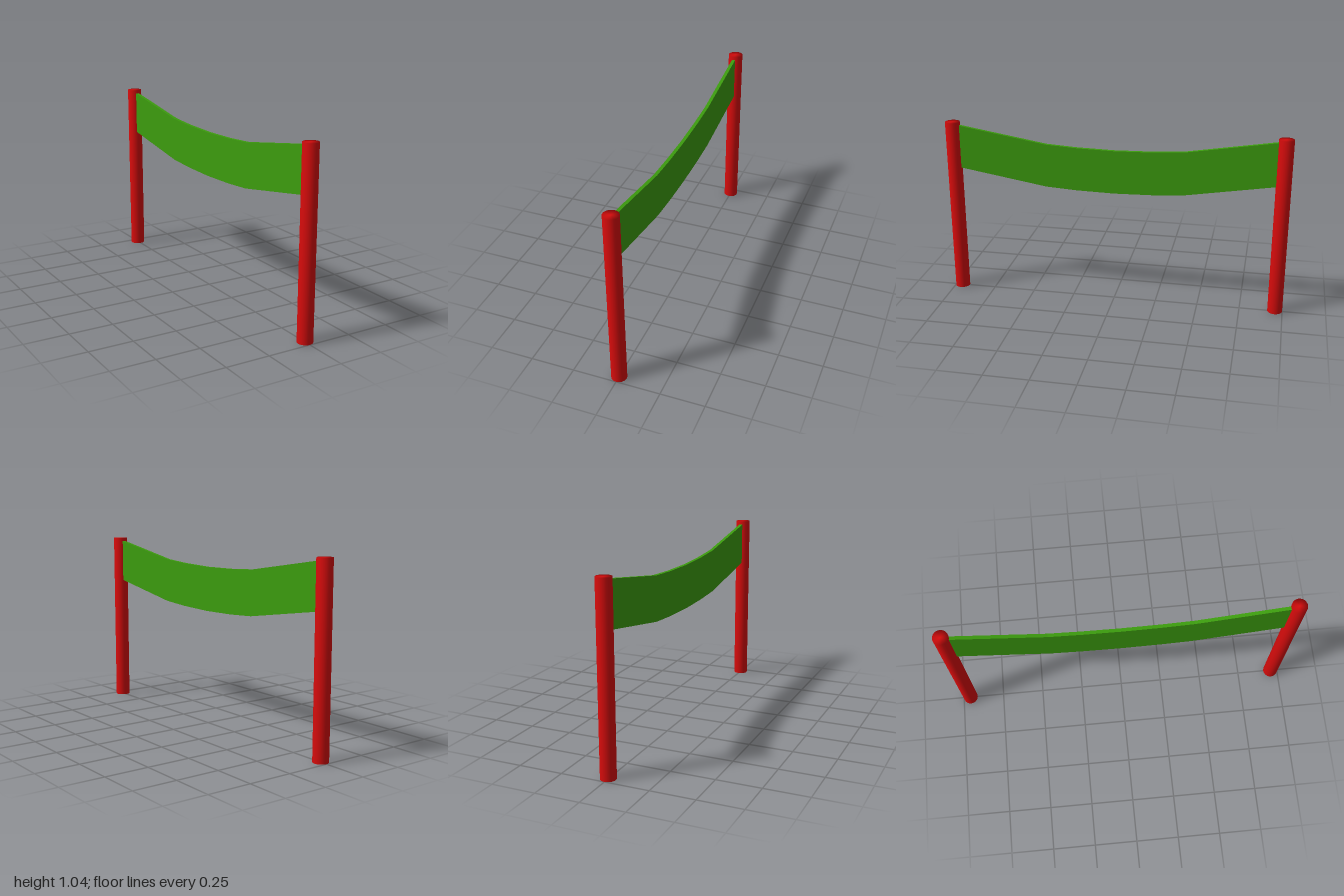
import * as THREE from 'three';
import { mergeVertices } from 'three/addons/utils/BufferGeometryUtils.js';

const POST_HEIGHT = 1.045, POST_RADIUS = 0.043, POST_Z = 0.957;
const BAND_HEIGHT = 0.255, BAND_THICKNESS = 0.02;

// Round post whose normals blend over the rim
function postGeometry() {
  const g = new THREE.CylinderGeometry(POST_RADIUS, POST_RADIUS, POST_HEIGHT, 24);
  g.deleteAttribute('uv');
  g.deleteAttribute('normal');
  const merged = mergeVertices(g);
  merged.computeVertexNormals();
  return merged;
}

// Sagging band: a top edge and the same edge lowered, given a thin depth
function bannerGeometry() {
  const half = [[0, 0.925], [0.22, 0.93], [0.4, 0.941], [0.93, 1.028]];
  const top = [...half.slice(1).reverse().map(([z, y]) => [-z, y]), ...half];
  const outline = [
    ...top.map(([z, y]) => new THREE.Vector2(z, y)),
    ...top.reverse().map(([z, y]) => new THREE.Vector2(z, y - BAND_HEIGHT)),
  ];
  const g = new THREE.ExtrudeGeometry(new THREE.Shape(outline), { depth: BAND_THICKNESS, bevelEnabled: false });
  g.translate(0, 0, -BAND_THICKNESS / 2);
  g.rotateY(-Math.PI / 2);
  return g;
}

export function createModel() {
  const model = new THREE.Group();
  model.name = 'bannerOnPosts';
  const red = new THREE.MeshStandardMaterial({ color: 0xd80c0c });
  const green = new THREE.MeshStandardMaterial({ color: 0x3c9c0e });

  // Two posts
  const geometry = postGeometry();
  for (const [name, side] of [['frontPost', 1], ['backPost', -1]]) {
    const post = new THREE.Mesh(geometry, red);
    post.name = name;
    post.position.set(0, POST_HEIGHT / 2, side * POST_Z);
    model.add(post);
  }

  // Banner hung between them
  const banner = new THREE.Mesh(bannerGeometry(), green);
  banner.name = 'banner';
  model.add(banner);
  return model;
}
